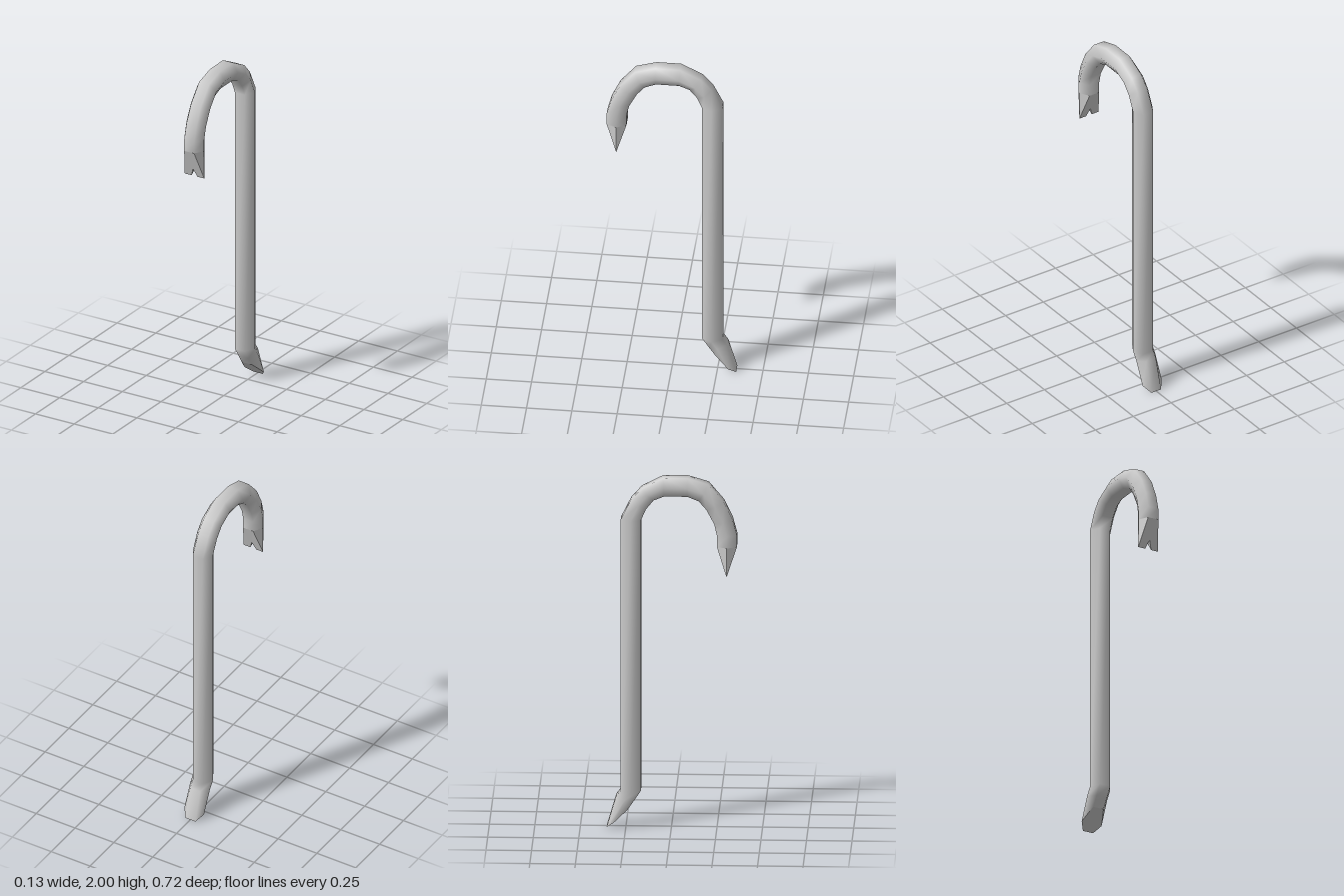
import * as THREE from 'three';

const FLAT = 0.032, WIDE = 0.063; // half widths of the hexagonal bar

// Side profile: [outer z, outer y, inner z, inner y, (mid z, mid y)]
const stations = [
  [-0.355, 0, -0.241, 0.10, -0.315, 0.035],
  [-0.304, 0.175, -0.205, 0.153],
  [-0.278, 0.21, -0.167, 0.21],
  [-0.278, 1.76, -0.167, 1.757],
  [-0.22, 1.877, -0.14, 1.82],
  [-0.162, 1.94, -0.098, 1.872],
  [-0.045, 2.0, -0.04, 1.895],
  [0.09, 2.0, 0.087, 1.895],
  [0.204, 1.966, 0.15, 1.87],
  [0.288, 1.866, 0.193, 1.82],
  [0.336, 1.765, 0.235, 1.74],
  [0.36, 1.676, 0.25, 1.676],
  [0.36, 1.61, 0.25, 1.61],
];

// Six corners of the bar at one station
function ring([oz, oy, iz, iy, mz = (oz + iz) / 2, my = (oy + iy) / 2]) {
  return [
    [FLAT, iy, iz], [WIDE, my, mz], [FLAT, oy, oz],
    [-FLAT, oy, oz], [-WIDE, my, mz], [-FLAT, iy, iz],
  ];
}

function geometryFrom(points, index) {
  const g = new THREE.BufferGeometry();
  g.setAttribute('position', new THREE.Float32BufferAttribute(points.flat(), 3));
  if (index) g.setIndex(index);
  g.computeVertexNormals();
  return g;
}

export function createModel() {
  const group = new THREE.Group();
  const smooth = new THREE.MeshStandardMaterial({ color: 0xcccccc });
  const flat = new THREE.MeshStandardMaterial({ color: 0xcccccc, flatShading: true });
  const add = (name, geometry, material) => {
    const mesh = new THREE.Mesh(geometry, material);
    mesh.name = name;
    group.add(mesh);
  };

  // Bar: bent foot, straight shaft and hook in one loft
  const index = [];
  for (let k = 0; k < stations.length - 1; k++) {
    for (let j = 0; j < 6; j++) {
      const a = k * 6 + j, b = k * 6 + (j + 1) % 6;
      index.push(a, b, b + 6, a, b + 6, a + 6);
    }
  }
  add('bar', geometryFrom(stations.flatMap(ring), index), smooth);

  // Chisel: slanted cut closing the foot
  const cut = [];
  for (let j = 1; j < 5; j++) cut.push(0, j + 1, j);
  add('chiselFace', geometryFrom(ring(stations[0]), cut), flat);

  // Claw: wedge with a V notch, built as one half and mirrored in x
  const tris = [];
  const tri = (a, b, c) => {
    const m = ([x, y, z]) => [-x, y, z];
    tris.push(a, b, c, m(a), m(c), m(b));
  };
  const top = 1.61, tip = 1.445, tipZ = 0.304;
  const side = [WIDE, top, 0.305], corner = [WIDE, tip, tipZ], prong = [0.019, tip, tipZ];
  const notchFront = [0, 1.495, 0.321], notchBack = [0, 1.495, 0.288];
  for (const [z, notch, front] of [[0.36, notchFront, true], [0.25, notchBack, false]]) {
    const face = (a, b, c) => (front ? tri(a, b, c) : tri(a, c, b));
    const centre = [0, top, z], edge = [FLAT, top, z];
    face(centre, notch, edge);
    face(edge, notch, prong);
    face(edge, prong, corner);
    face(edge, corner, side);
  }
  tri(prong, notchFront, notchBack);
  add('claw', geometryFrom(tris), flat);

  return group;
}
